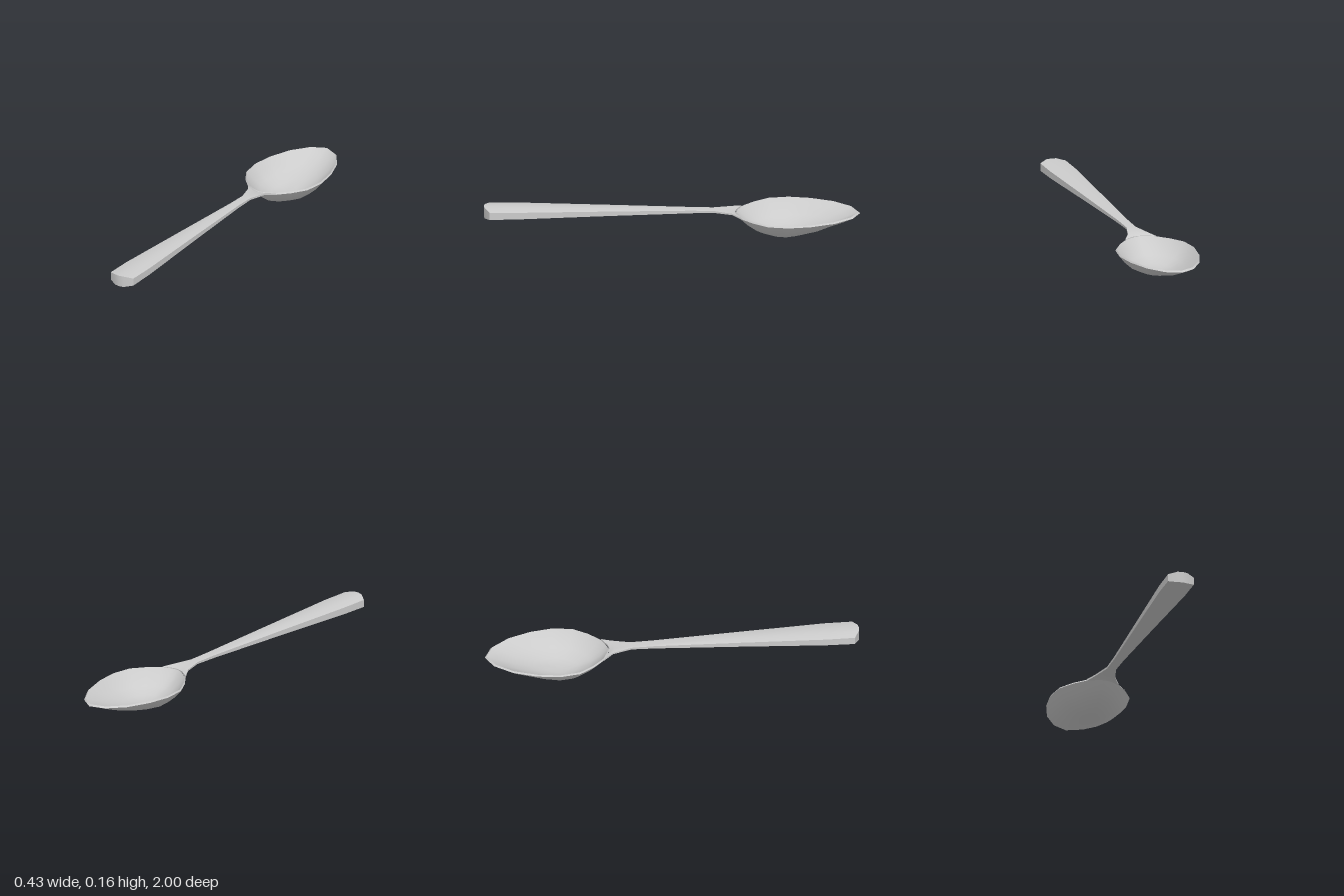
import * as THREE from 'three';
import { toCreasedNormals } from 'three/addons/utils/BufferGeometryUtils.js';

const material = new THREE.MeshStandardMaterial({ color: 0xcccccc, side: THREE.DoubleSide });

// Skin a list of closed loops that all have the same number of points
function loft(name, loops) {
  const n = loops[0].length;
  const index = [];
  for (let i = 0; i < loops.length - 1; i++) {
    for (let j = 0; j < n; j++) {
      const k = (j + 1) % n;
      const a = i * n + j, b = i * n + k, c = a + n, d = b + n;
      index.push(a, d, b, a, c, d);
    }
  }
  const geometry = new THREE.BufferGeometry();
  geometry.setAttribute('position', new THREE.Float32BufferAttribute(loops.flat(2), 3));
  geometry.setIndex(index);
  const mesh = new THREE.Mesh(toCreasedNormals(geometry, 0.9), material);
  mesh.name = name;
  return mesh;
}

// Bowl: the egg-shaped rim is shrunk towards the deepest point, outside then inside
function createBowl() {
  const deepest = -0.6;
  const half = [[0, -1], [0.08, -0.96], [0.15, -0.865], [0.195, -0.74], [0.213, -0.62],
    [0.197, -0.51], [0.145, -0.43], [0.088, -0.37], [0.036, -0.345], [0, -0.335]];
  const rim = [...half, ...half.slice(1, -1).reverse().map(([x, z]) => [-x, z])];

  const ring = (s, shrink, low, high) => rim.map(([x, z]) => {
    // The slope is straighter towards the tip than at the sides and heel
    const tip = Math.max(0, (deepest - z) / 0.4);
    const power = 2.7 - 1.15 * tip;
    return [x * s * shrink, low + (high - low) * Math.pow(s, power), deepest + (z - deepest) * s * shrink];
  });

  const steps = [0, 0.2, 0.38, 0.65, 0.86, 1];
  const outer = steps.map((s) => ring(s, 1, 0, 0.115));
  const inner = [...steps].reverse().map((s) => ring(s, 0.975, 0.012, 0.123));
  return loft('bowl', [...outer, ...inner]);
}

// Handle: ten-point sections with a slightly domed top and underside
function createHandle() {
  const across = [-1, -0.38, 0, 0.38, 1];
  const bulge = [0, 0.85, 1, 0.85, 0];
  // z at the edges, half width, bottom, top, edge drop, z bulge at the middle
  const sections = [
    [-0.37, 0.088, 0.113, 0.123, 0, 0.035],
    [-0.32, 0.055, 0.124, 0.136, 0.002, 0.01],
    [-0.22, 0.025, 0.125, 0.14, 0.002, 0],
    [-0.1, 0.026, 0.122, 0.143, 0.003, 0],
    [0.35, 0.048, 0.112, 0.15, 0.006, 0],
    [0.82, 0.072, 0.099, 0.157, 0.01, 0],
    [0.97, 0.072, 0.096, 0.157, 0.01, 0.03],
  ];
  const loops = sections.map(([z, w, bottom, top, drop, bow]) => {
    const row = (y, sign) => across.map((f, i) =>
      [f * w, y + sign * drop * (Math.abs(f) === 1 ? 1 : 0), z + bow * bulge[i]]);
    return [...row(top, -1), ...row(bottom, 1).reverse()];
  });
  // Close each end by folding its section onto its middle line
  const fold = (loop) => {
    const mid = (loop[2][1] + loop[7][1]) / 2;
    return loop.map(([x, , z]) => [x, mid, z]);
  };
  return loft('handle', [fold(loops[0]), ...loops, fold(loops[loops.length - 1])]);
}

export function createModel() {
  const spoon = new THREE.Group();
  spoon.name = 'spoon';
  spoon.add(createBowl(), createHandle());
  return spoon;
}
